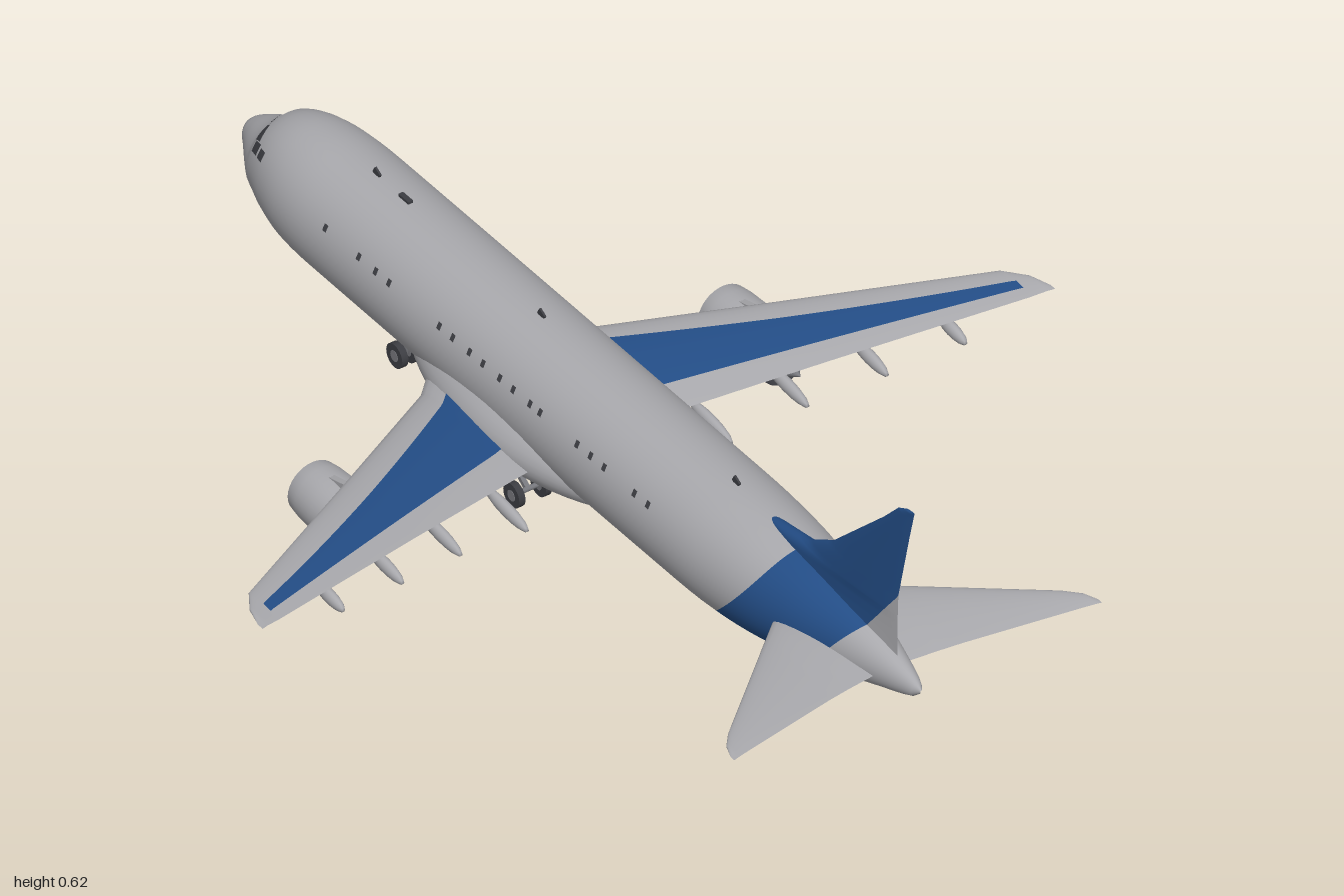
import * as THREE from 'three';

const mat = (name, color) => { const m = new THREE.MeshStandardMaterial({ color }); m.name = name; return m; };
const lerp = THREE.MathUtils.lerp;

// Smooth grid surface; normals come from du x dv so neighbouring patches join seamlessly
function surface(fn, nu, nv) {
  const pos = [], nor = [], idx = [], e = 1e-3;
  const V = (u, v) => new THREE.Vector3(...fn(u, v));
  for (let i = 0; i <= nu; i++) for (let j = 0; j <= nv; j++) {
    const u = i / nu, v = j / nv;
    const du = V(Math.min(1, u + e), v).sub(V(Math.max(0, u - e), v));
    const dv = V(u, Math.min(1, v + e)).sub(V(u, Math.max(0, v - e)));
    pos.push(...V(u, v).toArray());
    nor.push(...du.cross(dv).normalize().toArray());
    if (i < nu && j < nv) {
      const a = i * (nv + 1) + j, b = a + nv + 1;
      idx.push(a, b, a + 1, b, b + 1, a + 1);
    }
  }
  const g = new THREE.BufferGeometry();
  g.setAttribute('position', new THREE.Float32BufferAttribute(pos, 3));
  g.setAttribute('normal', new THREE.Float32BufferAttribute(nor, 3));
  g.setIndex(idx);
  return g;
}

// Fuselage stations: z, top, bottom, half width
const BODY = [[-1, .234, .226, .004], [-.99, .252, .208, .022], [-.965, .270, .190, .039], [-.905, .304, .152, .076],
  [-.885, .328, .143, .085], [-.835, .348, .127, .102], [-.77, .356, .117, .115], [-.68, .357, .116, .12], [.4, .357, .116, .12],
  [.5, .356, .118, .117], [.6, .351, .129, .108], [.7, .340, .146, .089], [.8, .318, .170, .063], [.9, .292, .202, .037],
  [.98, .266, .229, .014], [1, .252, .246, .002]];
function station(z) {
  let i = 0;
  while (i < BODY.length - 2 && z > BODY[i + 1][0]) i++;
  const at = k => BODY[Math.max(0, Math.min(BODY.length - 1, k))];
  const p = at(i), q = at(i + 1), h = q[0] - p[0], t = (z - p[0]) / h;
  const slope = (k, c) => (at(k + 1)[c] - at(k - 1)[c]) / (at(k + 1)[0] - at(k - 1)[0]);
  return [1, 2, 3].map(c => p[c] * (2 * t ** 3 - 3 * t * t + 1) + q[c] * (3 * t * t - 2 * t ** 3)
    + h * slope(i, c) * (t ** 3 - 2 * t * t + t) + h * slope(i + 1, c) * (t ** 3 - t * t));
}
// Point on the fuselage skin; angle runs from the top towards +x
function skin(z, a, off = 0) {
  const [top, bot, w] = station(z);
  return [(w + off) * Math.sin(a), (top + bot) / 2 + ((top - bot) / 2 + off) * Math.cos(a), z];
}
// Slanted edges of the painted tail band
const bandFront = y => .46 + .19 * (1 - (1 - THREE.MathUtils.clamp((y - .117) / .235, 0, 1)) ** 1.6);
const bandRear = y => .73 + (y - .145) / 1.33;
function edgeZ(edge, a) {
  let z = .65;
  for (let i = 0; i < 14; i++) z = lerp(z, edge(skin(z, a)[1]), .7);
  return z;
}

// Airfoil surface from rows of [span, leading z, trailing z, height, thickness]
function foil(rows, u, v) {
  const f = u * (rows.length - 1), i = Math.min(rows.length - 2, Math.floor(f));
  const [s, le, te, y, t] = rows[i].map((p, k) => lerp(p, rows[i + 1][k], f - i));
  const c = Math.cos(Math.PI * v);
  return [s, y + 1.3 * t * c * (1 - c * c), lerp(le, te, c * c)];
}
const chordV = c => Math.acos(Math.sqrt(THREE.MathUtils.clamp(c, 0, 1))) / Math.PI;

const WING = [[.05, -.34, -.01, .155, .055], [.115, -.31, .008, .163, .053], [.16, -.265, .02, .169, .048],
  [.435, -.098, .1, .209, .028], [.79, .115, .206, .259, .012], [.82, .16, .214, .264, .008], [.834, .205, .219, .266, 0]];
const STAB = [[.0, .66, .9, .238, .03], [.09, .685, .915, .243, .028], [.14, .73, .926, .247, .022],
  [.35, .92, .98, .263, .01], [.375, .95, .987, .265, .007], [.387, .98, .991, .266, 0]];
const FIN = [[.25, .6, .93, 0, .036], [.33, .5, .93, 0, .035], [.352, .55, .93, 0, .033], [.37, .665, .93, 0, .03],
  [.415, .74, .932, 0, .026], [.56, .89, .965, 0, .014], [.605, .932, .976, 0, .009], [.617, .955, .979, 0, .006], [.622, .974, .981, 0, 0]];

export function createModel() {
  const root = new THREE.Group();
  root.name = 'airliner';
  const grey = mat('light grey paint', 0xa9a9ad), blue = mat('blue paint', 0x234d86);
  const dark = mat('dark grey', 0x3c3d42), metal = mat('metal grey', 0x77787d);
  const add = (parent, name, geo, m, x = 0, y = 0, z = 0) => {
    const o = new THREE.Mesh(geo, m);
    o.name = name; o.position.set(x, y, z); parent.add(o);
    return o;
  };
  const TAU = Math.PI * 2;

  // Fuselage in three painted lengths
  const lengthOf = (z0, z1, power) => (u, v) => skin(lerp(z0(v * TAU), z1(v * TAU), u ** power), v * TAU);
  const front = a => edgeZ(bandFront, a), rear = a => edgeZ(bandRear, a);
  add(root, 'fuselage', surface(lengthOf(() => -1, front, 1.8), 70, 48), grey);
  add(root, 'tailBand', surface(lengthOf(front, rear, 1), 14, 48), blue);
  add(root, 'tailCone', surface(lengthOf(rear, () => 1, 1), 14, 48), grey);

  // Belly fairing
  add(root, 'bellyFairing', surface((u, v) => {
    const s = (1 - Math.cos(Math.PI * u)) / 2, e = Math.max(1e-3, Math.sin(Math.PI * s)) ** .6, a = v * TAU;
    return [.147 * e * Math.sin(a), .172 + .088 * e * Math.cos(a), lerp(-.5, .24, s)];
  }, 32, 40), grey);

  // Fin, split along the rear paint edge
  const finPoint = (u, v) => { const p = foil(FIN, u, v); return [-p[1], p[0], p[2]]; };
  const finSplit = u => {
    const le = foil(FIN, u, .5), te = foil(FIN, u, 0);
    return chordV((bandRear(le[0]) - le[2]) / (te[2] - le[2]));
  };
  add(root, 'fin', surface((u, v) => { const s = finSplit(u); return finPoint(u, lerp(s, 1 - s, v)); }, 40, 28), blue);
  add(root, 'rudderBase', surface((u, v) => finPoint(u / 2, v * finSplit(u / 2)), 20, 8), grey);
  add(root, 'rudderBase', surface((u, v) => finPoint(u / 2, 1 - (1 - v) * finSplit(u / 2)), 20, 8), grey);

  // Small raised patch that follows the fuselage
  const pane = (parent, name, z0, z1, a0, a1, rake = 0) => add(parent, name,
    surface((u, v) => skin(lerp(z0, z1, u) + rake * v, lerp(a0, a1, v), .0015), 4, 4), dark);

  for (const side of [1, -1]) {
    const half = new THREE.Group();
    half.name = side > 0 ? 'leftSide' : 'rightSide';
    half.scale.x = side;
    root.add(half);

    // Wing, tailplane and painted wing panel
    add(half, 'wing', surface((u, v) => foil(WING, u, v), 30, 28), grey);
    add(half, 'tailplane', surface((u, v) => foil(STAB, u, v), 25, 24), grey);
    add(half, 'wingPanel', surface((u, v) => {
      const p = foil(WING, lerp(.19, .68, u), 0), k = (p[0] - .135) / .665;
      const c0 = lerp(.22, .5, k), c1 = lerp(.78, .74, k);
      const q = foil(WING, lerp(.19, .68, u), lerp(chordV(c1), chordV(c0), v));
      return [q[0], q[1] + .002, q[2]];
    }, 30, 10), blue);

    // Flap track fairings
    for (const [x, y, z, len] of [[.215, .158, .07, .065], [.365, .181, .085, .065], [.51, .203, .125, .056], [.655, .224, .165, .044]]) {
      const pod = add(half, 'flapTrackFairing', new THREE.SphereGeometry(1, 14, 10), grey, x, y, z);
      pod.scale.set(.011, .014, len);
      pod.rotation.x = .12;
    }

    // Engine
    const engine = new THREE.Group();
    engine.name = 'engine';
    engine.position.set(.432, .135, 0);
    half.add(engine);
    const lathe = (name, pts, m) => {
      const o = add(engine, name, new THREE.LatheGeometry(pts.map(p => new THREE.Vector2(...p)), 32), m);
      o.rotation.x = Math.PI / 2;
    };
    lathe('nacelle', [[.045, -.195], [.048, -.204], [.052, -.202], [.056, -.175], [.058, -.13], [.054, -.07], [.046, -.02]], grey);
    lathe('inletDuct', [[0, -.16], [.044, -.16], [.045, -.195]], dark);
    lathe('exhaustDuct', [[.046, -.02], [.042, -.06], [0, -.06]], dark);
    lathe('core', [[.034, -.06], [.03, -.02], [.02, .0], [.016, .002], [0, .03]], metal);
    lathe('spinner', [[0, -.186], [.007, -.177], [.012, -.16]], metal);
    for (let i = 0; i < 18; i++) {
      const blade = new THREE.BoxGeometry(.003, .034, .002).translate(0, .026, 0).rotateZ(i * TAU / 18);
      add(engine, 'fanBlade', blade, metal, 0, 0, -.163);
    }
    const outline = new THREE.Shape([[-.17, .05], [-.09, .072], [.02, .072], [.06, .066], [.0, .025], [-.06, .04]].map(p => new THREE.Vector2(...p)));
    add(engine, 'pylon', new THREE.ExtrudeGeometry(outline, { depth: .012, bevelEnabled: false })
      .translate(0, 0, -.006).rotateY(-Math.PI / 2), grey);

    // Cabin windows, cockpit panes and doors
    for (const z of [.34, .30, .21, .17, .13, .02, -.01, -.06, -.10, -.15, -.19, -.24, -.28, -.43, -.47, -.52, -.62])
      pane(half, 'cabinWindow', z - .005, z + .005, 1.06, 1.17);
    pane(half, 'windscreen', -.902, -.887, .06, .42, .003);
    pane(half, 'windscreen', -.899, -.880, .5, .86, .008);
    pane(half, 'cockpitSideWindow', -.884, -.862, .88, 1.1);
    pane(half, 'cockpitSideWindow', -.856, -.838, .92, 1.1);

    // Main gear: four-wheel bogie
    const gear = new THREE.Group();
    gear.name = 'mainGear';
    gear.position.set(.05, 0, -.143);
    half.add(gear);
    add(gear, 'mainStrut', new THREE.CylinderGeometry(.008, .008, .07, 12), metal, 0, .08, 0);
    for (const s of [-1, 1]) {
      const arm = add(gear, 'bogieArm', new THREE.BoxGeometry(.009, .009, .052), metal, 0, .038, s * .021);
      arm.rotation.x = s * .6;
      wheels(gear, .028, s * .042);
    }
  }

  // Axle with a wheel at each end
  function wheels(parent, halfTrack, z) {
    add(parent, 'axle', new THREE.CylinderGeometry(.005, .005, halfTrack * 2, 10).rotateZ(Math.PI / 2), metal, 0, .024, z);
    for (const s of [-1, 1]) {
      add(parent, 'tyre', new THREE.CylinderGeometry(.024, .024, .013, 24).rotateZ(Math.PI / 2), dark, s * halfTrack, .024, z);
      add(parent, 'wheelHub', new THREE.CylinderGeometry(.011, .011, .0145, 16).rotateZ(Math.PI / 2), metal, s * halfTrack, .024, z);
    }
  }

  // Nose gear
  const nose = new THREE.Group();
  nose.name = 'noseGear';
  nose.position.z = -.54;
  root.add(nose);
  add(nose, 'noseStrut', new THREE.CylinderGeometry(.006, .006, .11, 12), metal, 0, .078, .015).rotation.x = .2;
  add(nose, 'noseBrace', new THREE.CylinderGeometry(.003, .003, .06, 8), metal, 0, .09, .03).rotation.x = .8;
  wheels(nose, .014, 0);

  // Antennas along the spine
  for (const z of [.45, -.13, -.62]) {
    const blade = add(root, 'antenna', new THREE.BoxGeometry(.004, .014, .018), dark, 0, .361, z);
    blade.rotation.x = .5;
  }
  add(root, 'antennaFairing', new THREE.BoxGeometry(.01, .008, .03), dark, 0, .358, -.535);
  return root;
}
